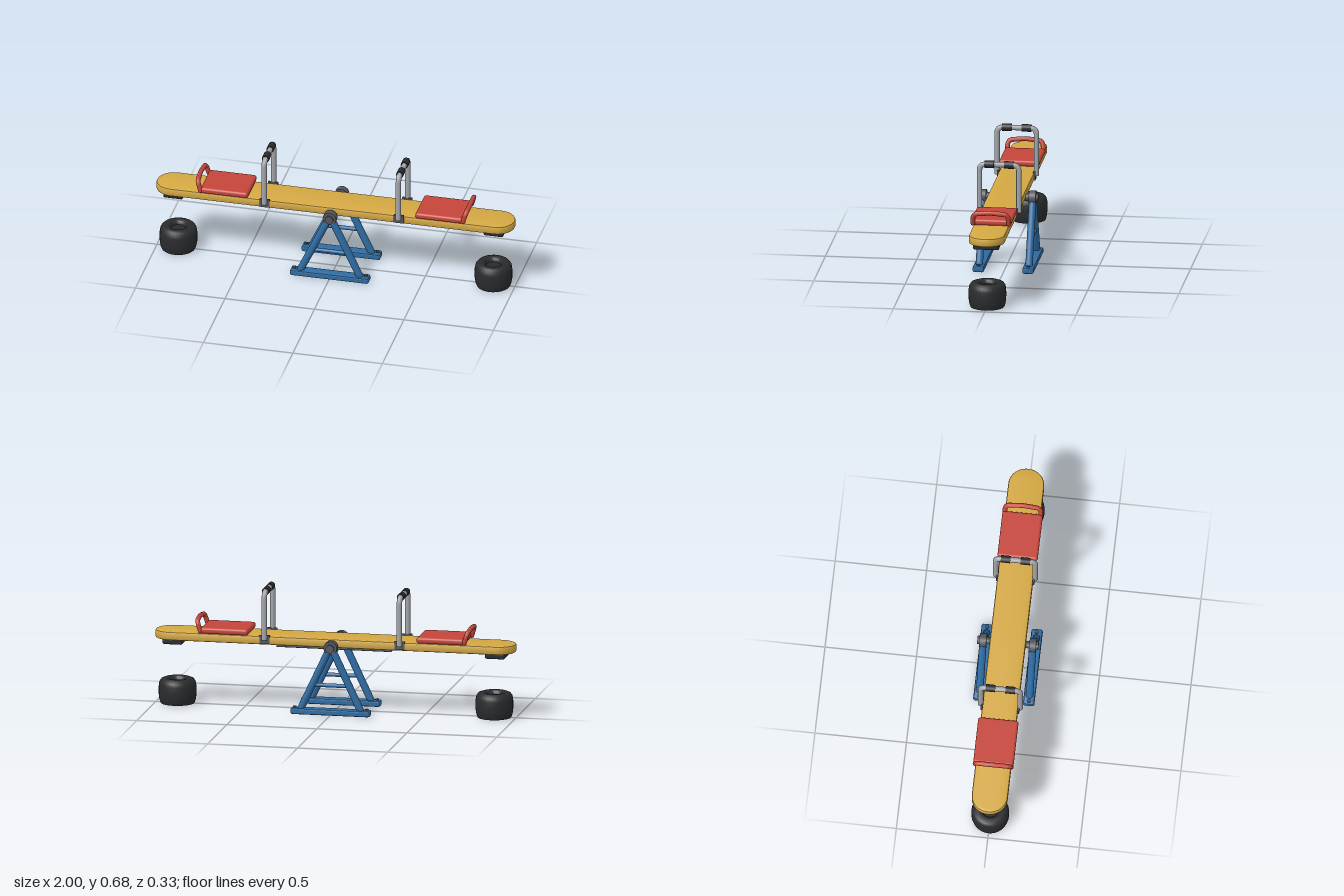
import * as THREE from 'three';
import { toCreasedNormals } from 'three/addons/utils/BufferGeometryUtils.js';
import { RoundedBoxGeometry } from 'three/addons/geometries/RoundedBoxGeometry.js';

const paint = (color) => new THREE.MeshStandardMaterial({ color });
const V = (x, y, z) => new THREE.Vector3(x, y, z);

function add(parent, name, geometry, material, x = 0, y = 0, z = 0) {
  const mesh = new THREE.Mesh(geometry, material);
  mesh.name = name;
  mesh.position.set(x, y, z);
  parent.add(mesh);
  return mesh;
}

// Straight round bar between two points
function bar(parent, name, a, b, radius, material, sides = 16) {
  const mesh = add(parent, name, new THREE.CylinderGeometry(radius, radius, a.distanceTo(b), sides), material);
  mesh.position.copy(a).lerp(b, 0.5);
  mesh.quaternion.setFromUnitVectors(V(0, 1, 0), b.clone().sub(a).normalize());
  return mesh;
}

// Bent pipe: straight runs joined by rounded corners
function bentPipe(points, bend, radius) {
  const path = new THREE.CurvePath();
  let from = points[0];
  for (let i = 1; i < points.length - 1; i++) {
    const p = points[i];
    const enter = p.clone().add(points[i - 1].clone().sub(p).setLength(bend));
    const leave = p.clone().add(points[i + 1].clone().sub(p).setLength(bend));
    path.add(new THREE.LineCurve3(from, enter));
    path.add(new THREE.QuadraticBezierCurve3(enter, p, leave));
    from = leave;
  }
  path.add(new THREE.LineCurve3(from, points[points.length - 1]));
  return new THREE.TubeGeometry(path, 72, radius, 14);
}

// Flat slab with rounded plan corners and bevelled edges, centred on its origin
function slab(length, height, width, corner, bevel) {
  const a = length / 2 - bevel, b = width / 2 - bevel, r = corner - bevel;
  const s = new THREE.Shape();
  s.moveTo(-a + r, -b).lineTo(a - r, -b);
  s.absarc(a - r, -b + r, r, -Math.PI / 2, 0);
  s.absarc(a - r, b - r, r, 0, Math.PI / 2);
  s.absarc(-a + r, b - r, r, Math.PI / 2, Math.PI);
  s.absarc(-a + r, -b + r, r, Math.PI, Math.PI * 1.5);
  const g = new THREE.ExtrudeGeometry(s, {
    depth: height - 2 * bevel, bevelThickness: bevel, bevelSize: bevel, bevelSegments: 2, curveSegments: 10,
  });
  g.translate(0, 0, -(height - 2 * bevel) / 2).rotateX(-Math.PI / 2);
  return toCreasedNormals(g, 0.5);
}

export function createModel() {
  const model = new THREE.Group();
  model.name = 'seesaw';
  const yellow = paint(0xd4a843), red = paint(0xc4453a), blue = paint(0x2f6ca3);
  const steel = paint(0xa3a6aa), iron = paint(0x55585d), rubber = paint(0x2a2b2d);

  // Plank with its stiffening plate and the pivot axle
  add(model, 'plank', slab(2, 0.047, 0.196, 0.096, 0.01), yellow, 0, 0.387, 0);
  add(model, 'stiffeningPlate', new RoundedBoxGeometry(0.64, 0.02, 0.11, 2, 0.004), iron, 0, 0.355, 0);
  bar(model, 'axle', V(0, 0.373, -0.155), V(0, 0.373, 0.155), 0.02, iron, 20);

  // A-frame on each side
  for (const side of [-1, 1]) {
    const frame = new THREE.Group();
    frame.name = 'supportFrame';
    frame.position.z = side * 0.136;
    model.add(frame);
    add(frame, 'foot', slab(0.44, 0.033, 0.062, 0.012, 0.009), blue, 0, 0.0165, 0);
    for (const x of [-1, 1]) {
      bar(frame, 'leg', V(x * 0.17, 0.02, 0), V(x * 0.012, 0.355, 0), 0.02, blue);
      add(frame, 'bolt', new THREE.CylinderGeometry(0.01, 0.01, 0.012, 6), iron, x * 0.2, 0.035, 0);
    }
    bar(frame, 'crossBar', V(-0.1, 0.163, 0), V(0.1, 0.163, 0), 0.011, blue);
    bar(frame, 'hub', V(0, 0.373, -0.019), V(0, 0.373, 0.019), 0.037, iron, 24);
    bar(frame, 'hubCap', V(0, 0.37, 0), V(0, 0.37, side * 0.031), 0.023, iron, 20);
  }

  // Cut tyre: bulging tread, rounded shoulder and a shallow centre well
  const tyreProfile = [[0, 0], [0.092, 0], [0.098, 0.015], [0.102, 0.04], [0.103, 0.07], [0.102, 0.1],
    [0.098, 0.12], [0.088, 0.133], [0.072, 0.139], [0.056, 0.138], [0.046, 0.131], [0.042, 0.115], [0, 0.113]];
  const tyre = toCreasedNormals(
    new THREE.LatheGeometry(tyreProfile.map(([r, y]) => new THREE.Vector2(r, y)), 32), 0.8);

  // Seat, handle, bumper and tyre at each end, mirrored by a half turn
  for (const turn of [0, Math.PI]) {
    const end = new THREE.Group();
    end.name = turn ? 'rightEnd' : 'leftEnd';
    end.rotation.y = turn;
    model.add(end);

    add(end, 'seat', new RoundedBoxGeometry(0.265, 0.034, 0.22, 4, 0.014), red, 0.6, 0.428, 0);
    const back = new THREE.CatmullRomCurve3([
      V(0.733, 0.424, 0.099), V(0.745, 0.463, 0.096), V(0.751, 0.481, 0.08), V(0.754, 0.489, 0),
      V(0.751, 0.481, -0.08), V(0.745, 0.463, -0.096), V(0.733, 0.424, -0.099),
    ], false, 'catmullrom', 0.2);
    add(end, 'backrest', new THREE.TubeGeometry(back, 48, 0.013, 12), red);
    for (const z of [-0.099, 0.099])
      add(end, 'backrestTip', new THREE.SphereGeometry(0.013, 12, 8), red, 0.733, 0.424, z);

    add(end, 'handle', bentPipe([
      V(0.375, 0.394, 0.108), V(0.375, 0.657, 0.108), V(0.375, 0.657, -0.108), V(0.375, 0.394, -0.108),
    ], 0.035, 0.0148), steel);
    for (const side of [-1, 1]) {
      bar(end, 'grip', V(0.375, 0.657, side * 0.028), V(0.375, 0.657, side * 0.08), 0.0205, rubber, 18);
      bar(end, 'handleEnd', V(0.375, 0.392, side * 0.108), V(0.375, 0.397, side * 0.108), 0.0148, steel, 14);
      add(end, 'handleBracket', new THREE.BoxGeometry(0.055, 0.047, 0.012), iron, 0.375, 0.394, side * 0.099);
    }

    add(end, 'bumper', new RoundedBoxGeometry(0.11, 0.03, 0.142, 3, 0.009), rubber, 0.895, 0.35, 0);
    add(end, 'tyre', tyre, rubber, 0.88, 0, 0);
  }
  return model;
}
